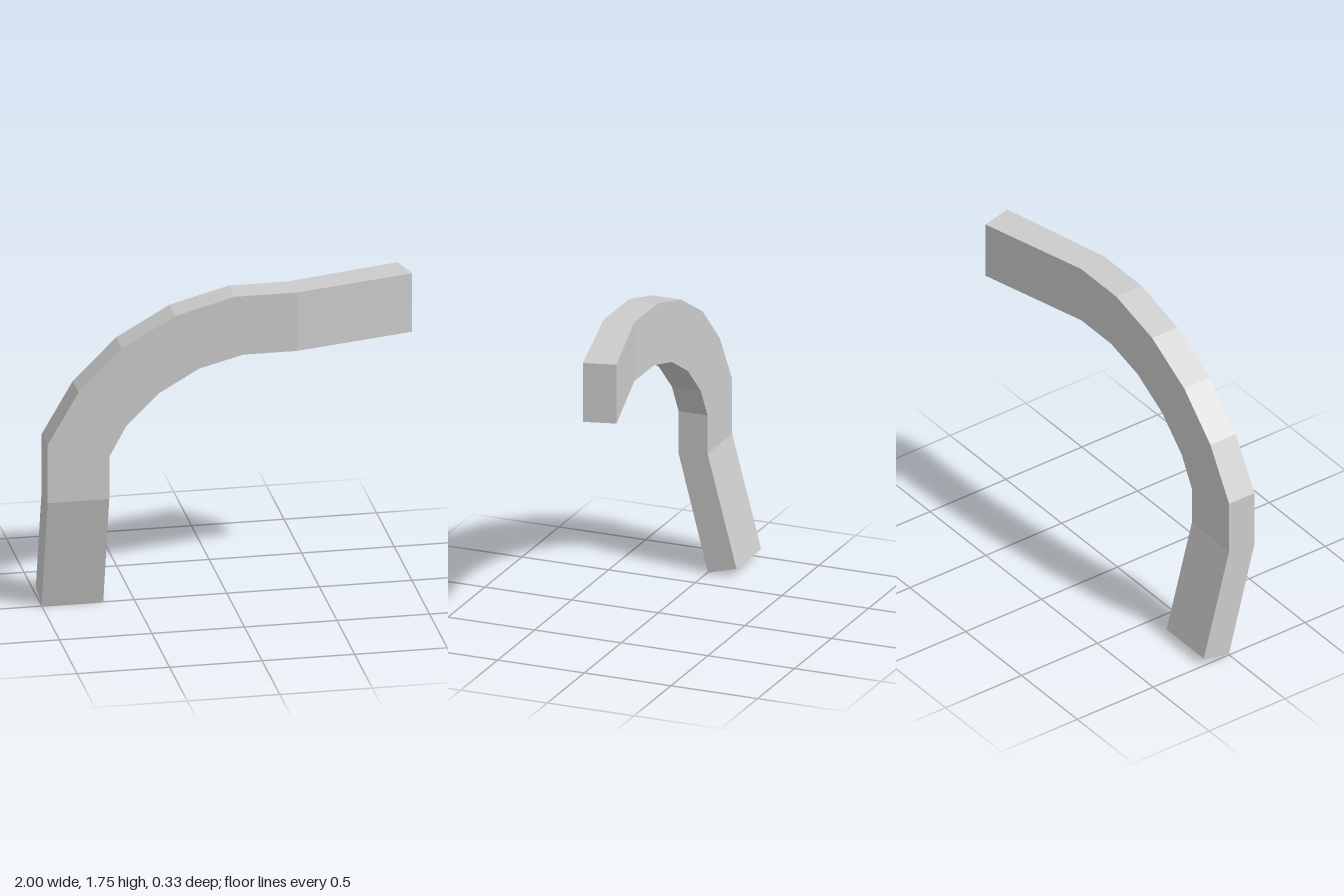
import * as THREE from 'three';

const FRONT = 0.167, BACK = 0;

// Cross-section inside the flat bend: outer and inner edge points
const flat = (ox, oy, ix, iy) => [
  [ox, oy, FRONT], [ix, iy, FRONT], [ix, iy, BACK], [ox, oy, BACK],
];
// Cross-section across the vertical leg, with its own height and depth front and back
const legSection = (yFront, zFront, yBack, zBack) => [
  [-1, yFront, zFront], [-0.667, yFront, zFront], [-0.667, yBack, zBack], [-1, yBack, zBack],
];
// Cross-section across the horizontal arm
const armSection = (xFront, zFront, xBack, zBack) => [
  [xFront, 1.753, zFront], [xFront, 1.42, zFront], [xBack, 1.42, zBack], [xBack, 1.753, zBack],
];

// Joins four-cornered sections into a closed, flat-faced bar
function loft(sections) {
  const positions = [];
  const quad = (a, b, c, d) => positions.push(...a, ...b, ...c, ...a, ...c, ...d);
  for (let i = 0; i < sections.length - 1; i++) {
    const s = sections[i], t = sections[i + 1];
    for (let j = 0; j < 4; j++) {
      const k = (j + 1) % 4;
      quad(s[j], s[k], t[k], t[j]);
    }
  }
  quad(...[...sections[0]].reverse());
  quad(...sections[sections.length - 1]);
  const geometry = new THREE.BufferGeometry();
  geometry.setAttribute('position', new THREE.Float32BufferAttribute(positions, 3));
  geometry.computeVertexNormals();
  return geometry;
}

export function createModel() {
  const model = new THREE.Group();
  model.name = 'curvedBracket';

  const sections = [
    // leg, folded backward at its foot
    legSection(0, -0.003, 0.045, -0.167),
    legSection(0.65, FRONT, 0.672, BACK),
    // faceted quarter bend
    flat(-1, 0.982, -0.667, 0.89),
    flat(-0.833, 1.27, -0.575, 1.06),
    flat(-0.598, 1.503, -0.4, 1.232),
    flat(-0.31, 1.667, -0.183, 1.357),
    flat(0.01, 1.753, 0.057, 1.42),
    // arm, folded backward at its tip
    armSection(0.347, FRONT, 0.325, BACK),
    armSection(1, 0.008, 0.955, -0.167),
  ];

  const bar = new THREE.Mesh(
    loft(sections),
    new THREE.MeshStandardMaterial({ color: 0xcccccc, flatShading: true }),
  );
  bar.name = 'bentBar';
  model.add(bar);
  return model;
}
